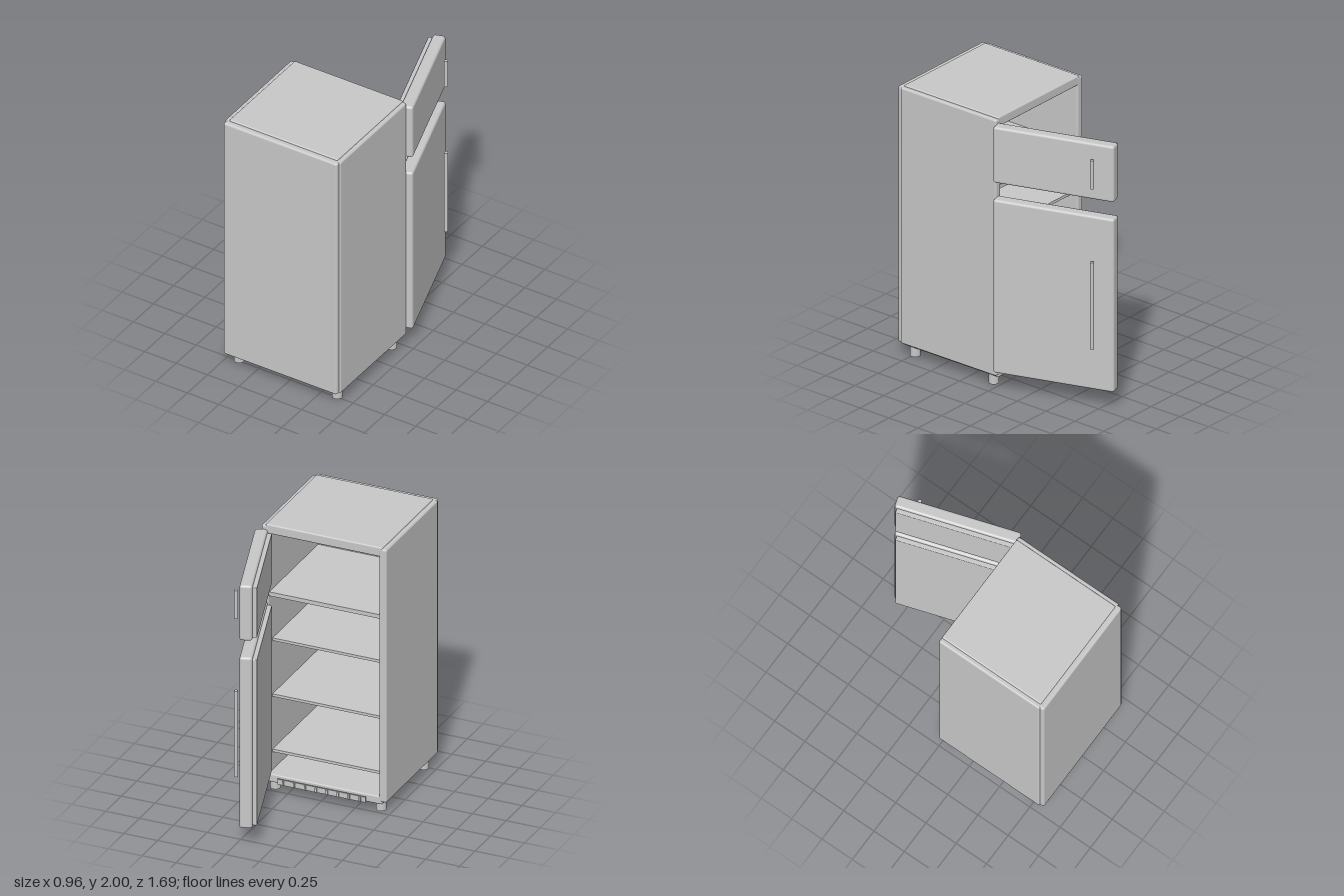
import * as THREE from 'three';
import { RoundedBoxGeometry } from 'three/addons/geometries/RoundedBoxGeometry.js';

const grey = new THREE.MeshStandardMaterial({ color: 0xc8c8c8 });
grey.name = 'matte grey';

// Box between two corners, with rounded edges when a radius is given
function slab(parent, name, [x0, y0, z0], [x1, y1, z1], radius = 0) {
  const size = [x1 - x0, y1 - y0, z1 - z0];
  const geometry = radius
    ? new RoundedBoxGeometry(...size, 3, radius)
    : new THREE.BoxGeometry(...size);
  const mesh = new THREE.Mesh(geometry, grey);
  mesh.name = name;
  mesh.position.set((x0 + x1) / 2, (y0 + y1) / 2, (z0 + z1) / 2);
  parent.add(mesh);
  return mesh;
}

// Upright cylinder from y0 to y1
function post(parent, name, x, z, y0, y1, radius) {
  const mesh = new THREE.Mesh(new THREE.CylinderGeometry(radius, radius, y1 - y0, 24), grey);
  mesh.name = name;
  mesh.position.set(x, (y0 + y1) / 2, z);
  parent.add(mesh);
}

// Open door: local x is the outward normal, local -z runs from hinge to free edge
function makeDoor(name, y0, y1, handleY0, handleY1) {
  const door = new THREE.Group();
  door.name = name;
  slab(door, name + 'Panel', [0.379, y0, -0.746], [0.466, y1, 0.126], 0.018);
  slab(door, name + 'Liner', [0.348, y0 + 0.02, -0.728], [0.385, y1 - 0.02, 0.1], 0.006);
  post(door, name + 'Handle', 0.504, -0.605, handleY0, handleY1, 0.0135);
  door.rotation.y = 0.311;
  return door;
}

export function createModel() {
  const fridge = new THREE.Group();
  fridge.name = 'refrigerator';

  // Cabinet shell, open towards -z
  const cabinet = new THREE.Group();
  cabinet.name = 'cabinet';
  fridge.add(cabinet);
  slab(cabinet, 'rightWall', [-0.485, 0.09, -0.015], [-0.428, 1.99, 0.815], 0.014);
  slab(cabinet, 'leftWall', [0.386, 0.09, -0.015], [0.44, 1.99, 0.815], 0.014);
  slab(cabinet, 'rearWall', [-0.475, 0.09, 0.78], [0.43, 1.99, 0.845], 0.016);
  slab(cabinet, 'roof', [-0.452, 1.93, -0.013], [0.41, 2.0, 0.805], 0.01);
  slab(cabinet, 'floor', [-0.452, 0.07, -0.013], [0.41, 0.13, 0.81], 0.01);

  // Freezer divider and shelves
  slab(cabinet, 'divider', [-0.43, 1.46, -0.003], [0.388, 1.49, 0.79]);
  [1.11, 0.69, 0.275].forEach((y, i) =>
    slab(cabinet, 'shelf' + (i + 1), [-0.43, y - 0.01, 0.05], [0.388, y + 0.01, 0.79]));

  // Feet
  for (const x of [-0.413, 0.368])
    for (const z of [0.06, 0.74]) post(fridge, 'foot', x, z, 0, 0.08, 0.036);

  // Ribbed kick grille
  const grille = new THREE.Group();
  grille.name = 'grille';
  fridge.add(grille);
  slab(grille, 'grillePlate', [-0.346, 0.08, -0.046], [0.306, 0.12, -0.036]);
  for (let i = 0; i < 8; i++) {
    const x = -0.305 + i * 0.081;
    slab(grille, 'grilleRib', [x - 0.006, 0.083, -0.056], [x + 0.006, 0.117, -0.044]);
  }

  // Doors, swung open on the +x side
  fridge.add(makeDoor('freezerDoor', 1.545, 1.96, 1.645, 1.855));
  fridge.add(makeDoor('mainDoor', 0.135, 1.42, 0.455, 1.1));
  return fridge;
}
